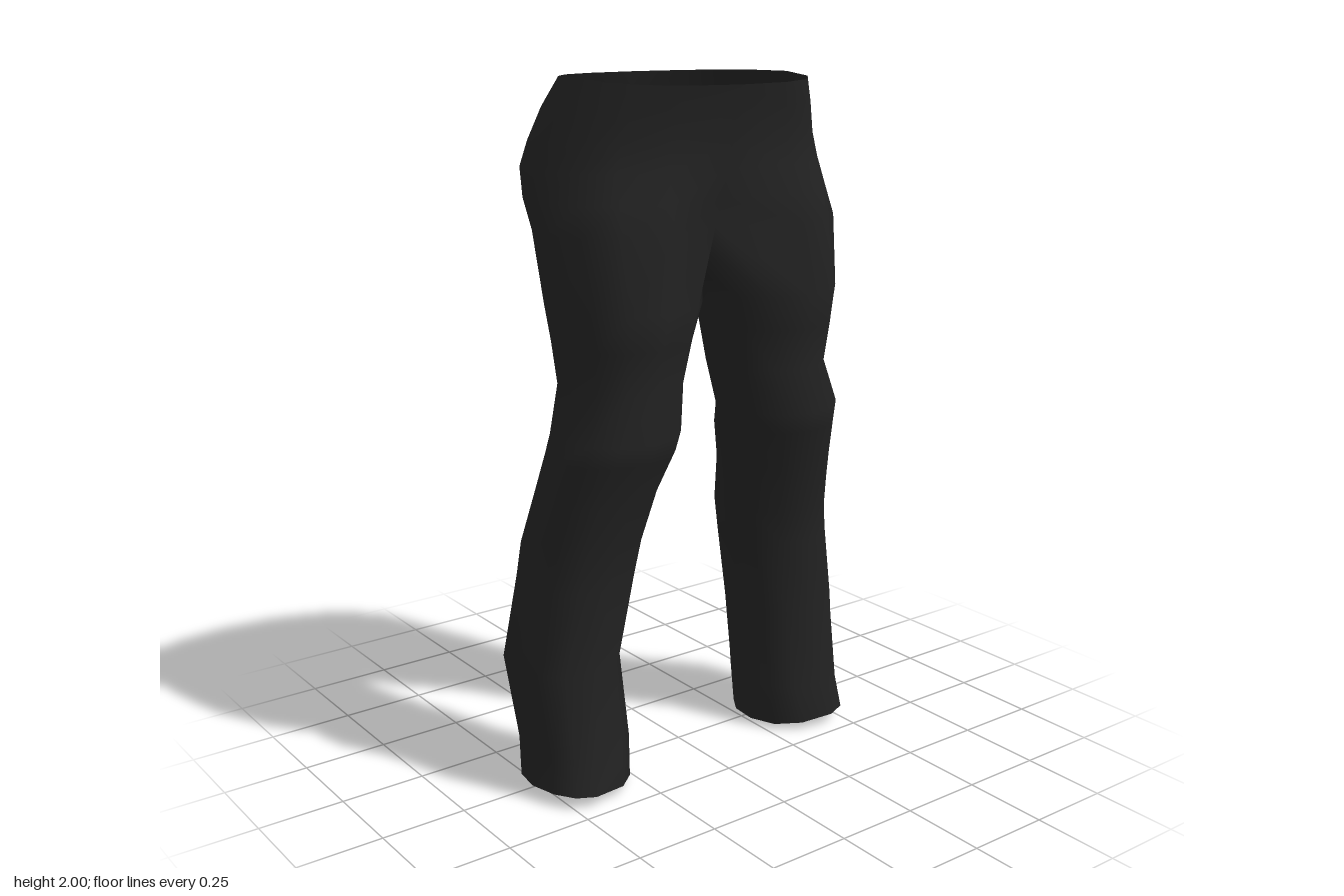
import * as THREE from 'three';
import { mergeVertices } from 'three/addons/utils/BufferGeometryUtils.js';

const OUTER = 9; // points from the front centre round the outside to the back centre
const RING = 12; // a full leg ring adds three inner-thigh points

// Hips: height, half width, front z, back z, front seam z, back seam z
const HIPS = [
  [2.0, 0.36, 0.275, -0.205, 0.277, -0.208],
  [1.92, 0.395, 0.26, -0.25, 0.26, -0.235],
  [1.83, 0.425, 0.245, -0.285, 0.24, -0.262],
  [1.76, 0.445, 0.255, -0.305, 0.222, -0.265],
  [1.68, 0.457, 0.275, -0.27, 0.2, -0.235],
  [1.6, 0.465, 0.29, -0.2, 0.17, -0.165],
];

// Legs: height, inner x, outer x, front z, back z, forward skew towards the outside
const LEGS = [
  [1.4, 0.038, 0.45, 0.29, -0.135, 0],
  [1.3, 0.07, 0.437, 0.275, -0.112, 0],
  [1.18, 0.095, 0.42, 0.257, -0.1, 0],
  [1.05, 0.116, 0.46, 0.275, -0.08, -0.01],
  [0.99, 0.12, 0.47, 0.253, -0.09, -0.01],
  [0.87, 0.158, 0.488, 0.213, -0.12, 0],
  [0.72, 0.187, 0.507, 0.18, -0.17, 0],
  [0.62, 0.205, 0.52, 0.168, -0.175, 0],
  [0.38, 0.25, 0.562, 0.155, -0.19, 0],
  [0.14, 0.245, 0.545, 0.19, -0.142, 0.03],
  [0.022, 0.255, 0.55, 0.21, -0.13, 0.04],
];

const power = (v, e) => Math.sign(v) * Math.abs(v) ** e;

// Half ring around one hip, its ends lying on the centre seam
function hipRow([y, w, front, back, seamFront, seamBack], i) {
  const row = [];
  for (let j = 0; j < OUTER; j++) {
    const a = Math.PI / 2 - (j * Math.PI) / (OUTER - 1);
    const s = power(Math.sin(a), 0.75);
    const mid = (front + back) / 2;
    let z = mid + (s * (front - back)) / 2;
    let x = w * power(Math.max(0, Math.cos(a)), 0.8);
    if (j === 0) { x = 0; z = seamFront; }
    if (j === OUTER - 1) { x = 0; z = seamBack; }
    // the waistband dips slightly at the front
    row.push([x, i === 0 && s > 0 ? y - 0.018 * s : y, z]);
  }
  return row;
}

// Closed ring around one leg
function legRow([y, inner, outer, front, back, skew], i) {
  const row = [];
  for (let j = 0; j < RING; j++) {
    const a = (2 * Math.PI) / 3 - (j * Math.PI * 2) / RING;
    const c = power(Math.cos(a), 0.88), s = power(Math.sin(a), 0.88);
    const tilt = i === LEGS.length - 1 ? 0.012 * c + 0.014 * s : 0; // slanted hem
    row.push([
      (inner + outer) / 2 + (c * (outer - inner)) / 2 + skew * s * (1 - Math.abs(c)),
      y + tilt,
      (front + back) / 2 + (s * (front - back)) / 2,
    ]);
  }
  return row;
}

function trousersGeometry() {
  const rows = [...HIPS.map(hipRow), ...LEGS.map(legRow)];
  // the crotch seam closes the lowest hip row into a leg opening
  rows[HIPS.length - 1].push([0, 1.53, -0.08], [0, 1.49, 0.02], [0, 1.53, 0.11]);

  const positions = [], index = [];
  for (const side of [1, -1]) {
    const starts = rows.map((row) => {
      const start = positions.length / 3;
      row.forEach(([x, y, z]) => positions.push(side * x, y, z));
      return start;
    });
    const tri = (a, b, c) => (side > 0 ? index.push(a, b, c) : index.push(a, c, b));
    for (let r = 0; r < rows.length - 1; r++) {
      const count = r < HIPS.length - 1 ? OUTER - 1 : RING;
      for (let j = 0; j < count; j++) {
        const k = (j + 1) % RING;
        const a = starts[r] + j, b = starts[r] + k;
        const c = starts[r + 1] + j, d = starts[r + 1] + k;
        tri(a, c, d);
        tri(a, d, b);
      }
    }
  }
  const geometry = new THREE.BufferGeometry();
  geometry.setAttribute('position', new THREE.Float32BufferAttribute(positions, 3));
  geometry.setIndex(index);
  // weld the halves so the centre seam shades smoothly
  const welded = mergeVertices(geometry, 1e-4);
  welded.computeVertexNormals();
  return welded;
}

export function createModel() {
  const cloth = new THREE.MeshStandardMaterial({ color: 0x222222, side: THREE.DoubleSide });
  cloth.name = 'black cloth';
  const trousers = new THREE.Mesh(trousersGeometry(), cloth);
  trousers.name = 'trousers';
  const model = new THREE.Group();
  model.name = 'trousersModel';
  model.add(trousers);
  return model;
}
